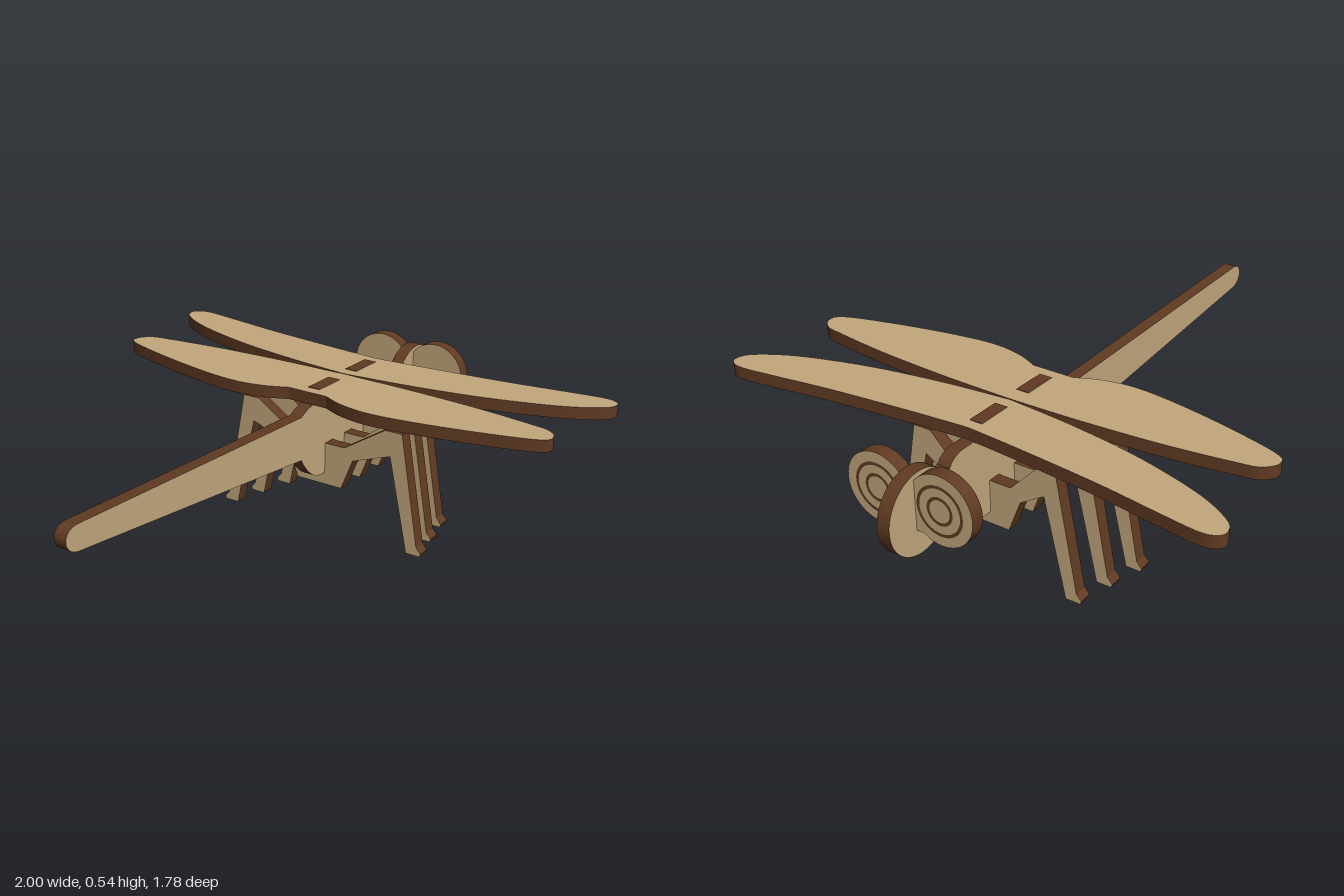
import * as THREE from 'three';

const T = 0.045; // plywood thickness

export function createModel() {
  const model = new THREE.Group();
  model.name = 'plywoodDragonfly';
  const face = new THREE.MeshStandardMaterial({ color: 0xc2a77d });
  face.name = 'plywood face';
  const edge = new THREE.MeshStandardMaterial({ color: 0x603a22 });
  edge.name = 'burnt edge';

  // Cut a sheet from a shape: light faces, dark edges, centred on its thickness
  function plate(name, shape, depth = T) {
    const geo = new THREE.ExtrudeGeometry(shape, { depth, bevelEnabled: false, curveSegments: 32 });
    geo.translate(0, 0, -depth / 2);
    const mesh = new THREE.Mesh(geo, [face, edge]);
    mesh.name = name;
    model.add(mesh);
    return mesh;
  }

  // Body: tail, thorax with tabs, neck and round head in one upright sheet
  const b = new THREE.Shape();
  b.moveTo(-0.95, 0.405);
  b.lineTo(0.12, 0.308);
  b.bezierCurveTo(0.15, 0.26, 0.19, 0.215, 0.25, 0.215);
  b.lineTo(0.6, 0.215);
  b.bezierCurveTo(0.67, 0.215, 0.715, 0.24, 0.735, 0.276);
  b.lineTo(0.78, 0.276);
  const hx = 0.864, hy = 0.381, hr = 0.134;
  b.absarc(hx, hy, hr, Math.atan2(-0.105, -0.084), Math.atan2(0.075, -0.111), false);
  b.lineTo(0.73, 0.456);
  b.quadraticCurveTo(0.71, 0.49, 0.66, 0.49);
  for (const [x0, x1] of [[0.452, 0.575], [0.223, 0.345]]) {
    b.lineTo(x1, 0.49);
    b.lineTo(x1, 0.532);
    b.lineTo(x0, 0.532);
    b.lineTo(x0, 0.49);
  }
  b.quadraticCurveTo(0.16, 0.49, 0.12, 0.463);
  b.lineTo(-0.95, 0.488);
  b.bezierCurveTo(-1.016, 0.488, -1.016, 0.412, -0.95, 0.405);
  plate('body', b);

  // Wings: half outline from leading root over the tip to trailing root, then mirrored
  function wing(name, half) {
    const pts = half.map(([x, z]) => new THREE.Vector2(x, z));
    const s = new THREE.Shape();
    s.moveTo(pts[0].x, pts[0].y);
    s.splineThru(pts.slice(1));
    const back = half.map(([x, z]) => new THREE.Vector2(x, -z)).reverse();
    s.lineTo(back[0].x, back[0].y);
    s.splineThru(back.slice(1));
    const mesh = plate(name, s, 0.042);
    mesh.geometry.rotateX(Math.PI / 2);
    mesh.position.y = 0.509;
  }
  wing('foreWings', [[0.614, 0.01], [0.63, 0.2], [0.66, 0.48], [0.693, 0.7], [0.709, 0.82],
    [0.7, 0.87], [0.67, 0.888], [0.62, 0.858], [0.55, 0.73], [0.48, 0.5], [0.435, 0.25], [0.409, 0.01]]);
  wing('hindWings', [[0.405, 0.01], [0.399, 0.25], [0.381, 0.52], [0.352, 0.74], [0.335, 0.81],
    [0.29, 0.843], [0.246, 0.81], [0.19, 0.62], [0.148, 0.42], [0.132, 0.27], [0.148, 0.16], [0.184, 0.075]]);

  // Leg pairs: hub, rising arms, knees and feet; each pair splays wider towards the tail
  [[0.528, 0], [0.405, 0.03], [0.285, 0.06]].forEach(([x, w], i) => {
    const half = [[0.09, 0.172], [0.135, 0.285], [0.222 + w, 0.338], [0.297 + w, 0.002], [0.35 + w, 0.002],
      [0.354 + w, 0.014], [0.336 + w, 0.034], [0.265 + w, 0.427], [0.2 + w, 0.427], [0.1, 0.325]];
    const outline = [...half, ...half.map(([z, y]) => [-z, y]).reverse()];
    const s = new THREE.Shape(outline.map(([z, y]) => new THREE.Vector2(z, y)));
    const legs = plate(['frontLegs', 'middleLegs', 'rearLegs'][i], s);
    legs.geometry.rotateY(Math.PI / 2);
    legs.position.x = x;
  });

  // Eyes: two discs joined by a bridge
  const ez = 0.112, ey = 0.427, er = 0.114;
  const low = Math.atan2(-0.095, -0.063), high = Math.atan2(0.045, -0.105);
  const e = new THREE.Shape();
  e.absarc(ez, ey, er, low, high, false);
  e.absarc(-ez, ey, er, Math.PI - high, Math.PI - low, false);
  const eyes = plate('eyes', e);
  eyes.geometry.rotateY(Math.PI / 2);
  eyes.position.x = 0.863;

  // Engraved rings on the front of each eye
  for (const side of [-1, 1]) {
    for (const r of [0.077, 0.041]) {
      const ring = new THREE.Mesh(new THREE.RingGeometry(r - 0.005, r + 0.005, 40), edge);
      ring.name = 'eyeRing';
      ring.rotation.y = Math.PI / 2;
      ring.position.set(0.863 + T / 2 + 0.002, ey, side * ez);
      model.add(ring);
    }
  }
  return model;
}
